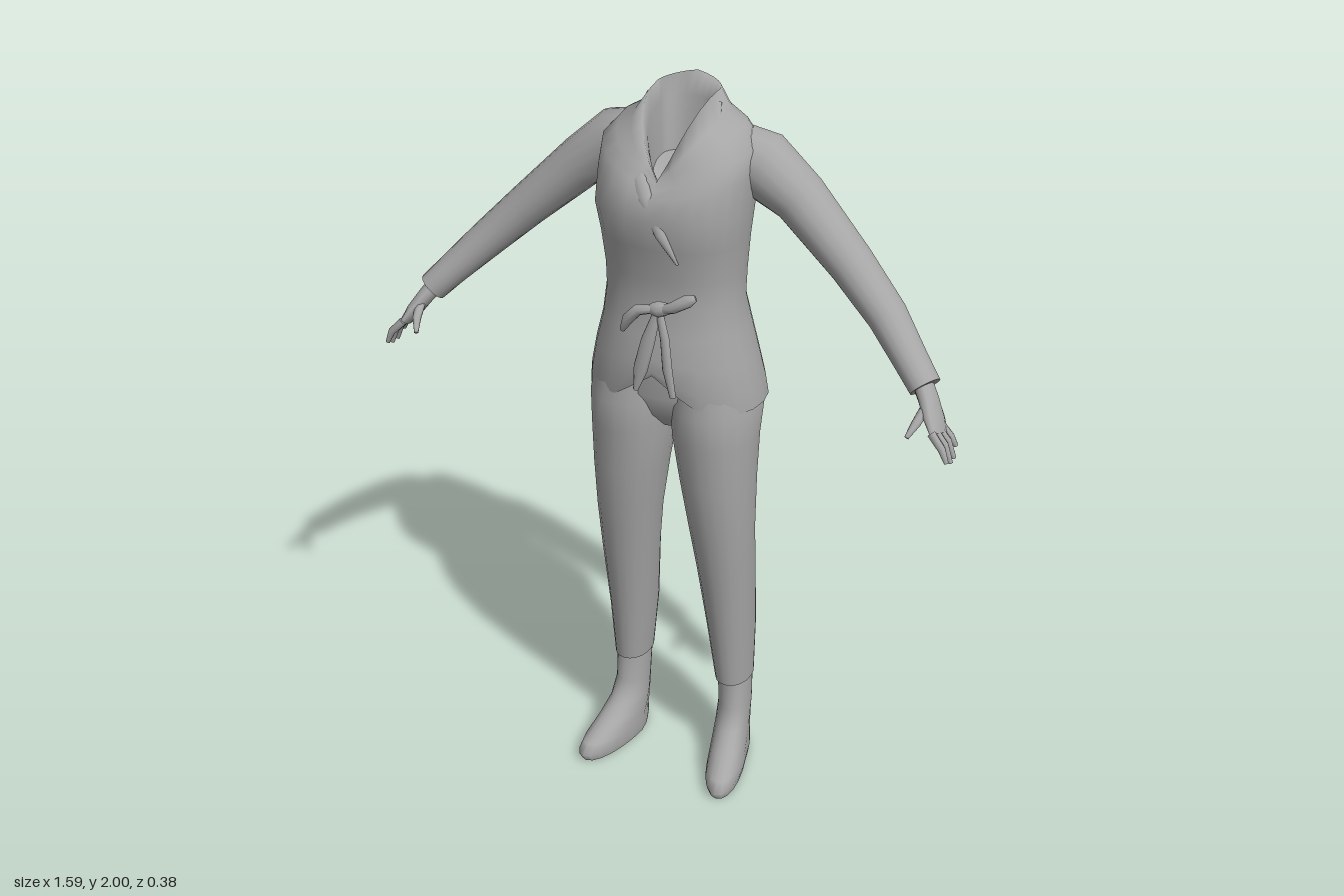
import * as THREE from 'three';

const cloth = new THREE.MeshStandardMaterial({ color: 0xa6a6a6, side: THREE.DoubleSide });
cloth.name = 'plain grey';
const V = (x, y, z) => new THREE.Vector3(x, y, z);

// Skin a list of closed rings (arrays of Vector3), with optional end caps
function loft(name, rings, capStart = true, capEnd = true) {
  const n = rings[0].length, pos = [], idx = [];
  rings.flat().forEach(p => pos.push(p.x, p.y, p.z));
  for (let i = 0; i < rings.length - 1; i++) {
    for (let j = 0; j < n; j++) {
      const k = (j + 1) % n, a = i * n + j, b = i * n + k;
      idx.push(a, a + n, b, b, a + n, b + n);
    }
  }
  const cap = (i, flip) => {
    const c = rings[i].reduce((s, p) => s.add(p), V(0, 0, 0)).divideScalar(n);
    const o = pos.length / 3;
    [c, ...rings[i]].forEach(p => pos.push(p.x, p.y, p.z));
    for (let j = 0; j < n; j++) {
      const a = o + 1 + j, b = o + 1 + (j + 1) % n;
      if (flip) idx.push(o, b, a); else idx.push(o, a, b);
    }
  };
  if (capStart) cap(0, false);
  if (capEnd) cap(rings.length - 1, true);
  // Turn the faces outward when the enclosed volume comes out negative
  let volume = 0;
  const at = i => V(pos[3 * i], pos[3 * i + 1], pos[3 * i + 2]);
  for (let i = 0; i < idx.length; i += 3) {
    volume += at(idx[i]).dot(at(idx[i + 1]).cross(at(idx[i + 2])));
  }
  if (volume < 0) idx.reverse();
  const g = new THREE.BufferGeometry();
  g.setAttribute('position', new THREE.Float32BufferAttribute(pos, 3));
  g.setIndex(idx);
  g.computeVertexNormals();
  const mesh = new THREE.Mesh(g, cloth);
  mesh.name = name;
  return mesh;
}

// Horizontal oval; front, side and back heights and depths are set separately
function oval([yf, ys, yb, rx, zf, zs, zb], cx = 0, n = 24, fullness = 0.88) {
  return Array.from({ length: n }, (_, j) => {
    const a = j / n * Math.PI * 2, c = Math.cos(a), s = Math.sin(a);
    const full = v => Math.sign(v) * Math.abs(v) ** fullness;
    const t = 1 - Math.abs(c), sz = full(s);
    return V(cx + rx * full(c), ys + t * ((s > 0 ? yf : yb) - ys),
      zs + sz * (s > 0 ? zf - zs : zs - zb));
  });
}
const level = (y, rx, zf, zb) => [y, y, y, rx, zf, (zf + zb) / 2, zb];

// Limb or ribbon along points [x, y, z, width, thickness]; the hint is the thickness direction
function strand(name, pts, hint, side = 1, n = 12, open = false) {
  const c = pts.map(p => V(p[0] * side, p[1], p[2]));
  const rings = pts.map((p, i) => {
    const T = c[Math.min(i + 1, c.length - 1)].clone().sub(c[Math.max(i - 1, 0)]).normalize();
    const N = hint.clone().addScaledVector(T, -hint.dot(T)).normalize();
    const B = T.clone().cross(N);
    return Array.from({ length: n }, (_, j) => {
      const a = j / n * Math.PI * 2;
      return c[i].clone().addScaledVector(B, p[3] * Math.cos(a))
        .addScaledVector(N, p[4] * Math.sin(a));
    });
  });
  return loft(name, rings, !open, !open);
}

function jacket() {
  const g = new THREE.Group();
  g.name = 'jacket';
  // Body from the hem to the collar rim, then down inside the neck
  const body = [
    level(1.18, 0.24, 0.145, -0.19), level(1.23, 0.233, 0.152, -0.187),
    level(1.31, 0.215, 0.152, -0.175), level(1.39, 0.195, 0.14, -0.162),
    level(1.47, 0.182, 0.13, -0.135), level(1.54, 0.183, 0.135, -0.145),
    level(1.63, 0.19, 0.153, -0.155), level(1.71, 0.2, 0.173, -0.165),
    [1.76, 1.80, 1.79, 0.2, 0.155, -0.02, -0.172],
    [1.775, 1.86, 1.85, 0.2, 0.137, -0.05, -0.172],
    [1.785, 1.905, 1.9, 0.16, 0.127, -0.06, -0.165],
    [1.79, 1.93, 1.945, 0.115, 0.117, -0.06, -0.152],
    [1.79, 1.98, 2.0, 0.083, 0.107, -0.075, -0.132],
    [1.775, 1.93, 1.94, 0.07, 0.092, -0.065, -0.118],
    [1.71, 1.8, 1.8, 0.06, 0.07, -0.05, -0.1],
  ].map(r => oval(r));
  // The front edges part above the trousers
  const parting = [0.1, 0.065, 0.02];
  parting.forEach((lift, i) => body[i].forEach(p => {
    if (p.z > 0) p.y += lift * Math.max(0, 1 - Math.abs(p.x) / 0.14);
  }));
  g.add(loft('jacketBody', body, false, true));

  // Crossed lapels
  const hint = V(0, 0.45, 1);
  g.add(strand('rightLapel', [
    [-0.088, 1.955, -0.05, 0.012, 0.009], [-0.093, 1.89, 0.03, 0.02, 0.011],
    [-0.062, 1.82, 0.1, 0.022, 0.012], [-0.015, 1.76, 0.145, 0.02, 0.012],
    [0.035, 1.68, 0.165, 0.014, 0.01], [0.07, 1.6, 0.143, 0.003, 0.004],
  ], hint));
  g.add(strand('leftLapel', [
    [0.088, 1.955, -0.05, 0.012, 0.009], [0.1, 1.885, 0.025, 0.026, 0.011],
    [0.085, 1.82, 0.09, 0.032, 0.012], [0.05, 1.77, 0.135, 0.025, 0.012],
    [0.015, 1.74, 0.15, 0.008, 0.008],
  ], hint));

  // Tied bow at the waist
  const bow = (name, pts) => g.add(strand(name, pts, V(0, 0.1, 1), 1, 8));
  bow('bowKnot', [[0, 1.47, 0.148, 0.014, 0.014], [0.025, 1.475, 0.152, 0.022, 0.02],
    [0.05, 1.48, 0.148, 0.014, 0.014]]);
  bow('bowLoopLong', [[0.02, 1.47, 0.15, 0.01, 0.01], [0.065, 1.49, 0.16, 0.015, 0.014],
    [0.105, 1.515, 0.155, 0.017, 0.014], [0.122, 1.522, 0.148, 0.008, 0.008]]);
  bow('bowLoopShort', [[0.02, 1.475, 0.15, 0.01, 0.01], [-0.03, 1.467, 0.16, 0.015, 0.014],
    [-0.06, 1.435, 0.16, 0.015, 0.014], [-0.077, 1.4, 0.153, 0.007, 0.008]]);
  bow('bowTailRight', [[0.02, 1.47, 0.152, 0.01, 0.009], [0, 1.39, 0.165, 0.019, 0.009],
    [-0.02, 1.31, 0.168, 0.02, 0.008], [-0.035, 1.245, 0.168, 0.007, 0.005]]);
  bow('bowTailLeft', [[0.025, 1.47, 0.152, 0.01, 0.009], [0.045, 1.4, 0.163, 0.013, 0.009],
    [0.055, 1.32, 0.17, 0.014, 0.008], [0.07, 1.245, 0.17, 0.009, 0.005]]);
  return g;
}

function arm(side) {
  const g = new THREE.Group();
  g.name = side > 0 ? 'leftArm' : 'rightArm';
  const add = (name, pts, hint = V(0, 0, 1), n = 8) => g.add(strand(name, pts, hint, side, n));
  add('sleeve', [
    [0.12, 1.82, -0.08, 0.08, 0.082], [0.2, 1.802, -0.083, 0.085, 0.084],
    [0.3, 1.732, -0.08, 0.068, 0.073], [0.45, 1.595, -0.052, 0.057, 0.062],
    [0.56, 1.49, -0.02, 0.05, 0.056], [0.64, 1.41, 0.028, 0.043, 0.048],
    [0.69, 1.358, 0.055, 0.04, 0.044],
  ], V(0, 0, 1), 16);
  add('hand', [
    [0.68, 1.37, 0.052, 0.024, 0.03], [0.705, 1.335, 0.07, 0.022, 0.036],
    [0.728, 1.3, 0.092, 0.019, 0.044], [0.748, 1.268, 0.108, 0.012, 0.042],
  ], V(0, 0, 1), 12);
  for (let i = 0; i < 4; i++) {
    const z = 0.077 + 0.021 * i, tip = 0.07 + 0.027 * i;
    const short = i === 0 ? 0.02 : i === 3 ? 0.012 : 0;
    add('finger', [
      [0.738, 1.283, z, 0.011, 0.011],
      [0.77, 1.25, (z + tip) / 2 + 0.004, 0.01, 0.01],
      [0.787 - short / 4, 1.205 + short, tip, 0.006, 0.006],
    ]);
  }
  add('thumb', [
    [0.708, 1.328, 0.09, 0.014, 0.014], [0.697, 1.298, 0.135, 0.012, 0.012],
    [0.684, 1.27, 0.163, 0.006, 0.006],
  ], V(1, 0, 0));
  return g;
}

function leg(side) {
  const g = new THREE.Group();
  g.name = side > 0 ? 'leftLeg' : 'rightLeg';
  // Rows: height, centre x, half width, front z, back z
  const rows = list => list.map(([y, cx, rx, zf, zb]) => oval(level(y, rx, zf, zb), cx * side, 20, 0.95));
  g.add(loft('trouserLeg', rows([
    [0.27, 0.157, 0.05, 0.012, -0.132], [0.45, 0.15, 0.063, 0.038, -0.137],
    [0.66, 0.143, 0.077, 0.073, -0.112], [0.8, 0.136, 0.088, 0.095, -0.098],
    [0.95, 0.126, 0.1, 0.118, -0.112], [1.08, 0.117, 0.113, 0.126, -0.125],
    [1.17, 0.115, 0.117, 0.135, -0.163], [1.32, 0.1, 0.1, 0.11, -0.135],
  ])));
  const boot = rows([
    [0, 0.163, 0.05, 0.175, -0.118], [0.025, 0.163, 0.054, 0.188, -0.122],
    [0.05, 0.163, 0.052, 0.165, -0.12], [0.085, 0.161, 0.049, 0.095, -0.118],
    [0.125, 0.16, 0.046, 0.035, -0.117], [0.18, 0.16, 0.045, 0.002, -0.12],
    [0.3, 0.157, 0.047, -0.002, -0.126],
  ]);
  // Toes turn outward
  boot.flat().forEach(p => { p.x += side * 0.2 * Math.max(0, p.z + 0.03); });
  g.add(loft('foot', boot));
  return g;
}

export function createModel() {
  const model = new THREE.Group();
  model.name = 'clothedFigure';
  model.add(jacket());
  for (const side of [1, -1]) model.add(arm(side), leg(side));
  // Seat of the trousers joining both legs
  model.add(loft('trouserSeat', [
    level(1.09, 0.05, 0.05, -0.06), level(1.13, 0.12, 0.085, -0.11),
    level(1.2, 0.2, 0.115, -0.15), level(1.34, 0.17, 0.11, -0.13),
  ].map(r => oval(r))));
  return model;
}
